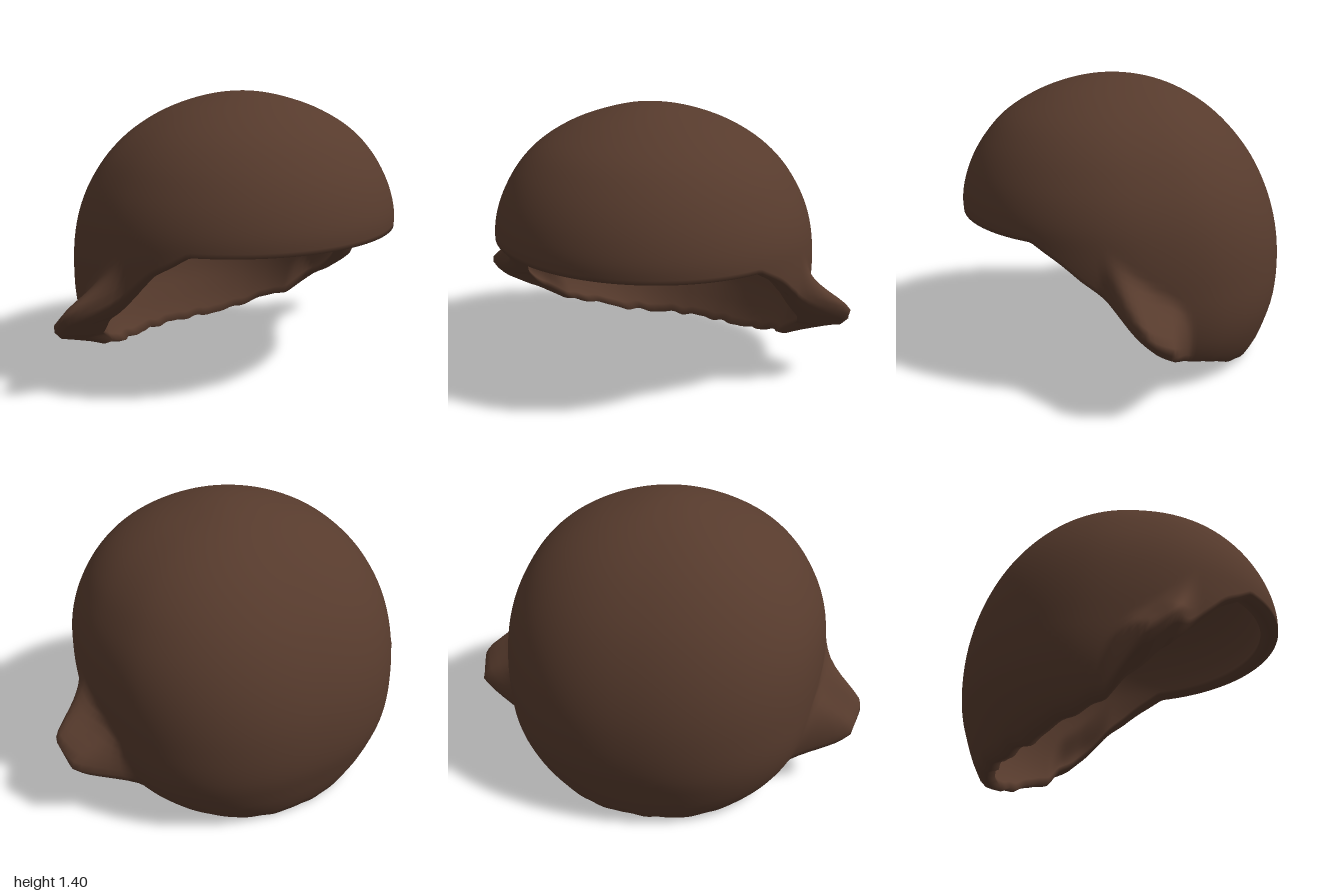
import * as THREE from 'three';

const { smoothstep, clamp, mapLinear } = THREE.MathUtils;
const TOP = 1.39;
// Dome cross-sections: height, half width, front z, back z
const SECTIONS = [
  [1.39, 0, 0.05, 0.05], [1.36, 0.21, 0.26, -0.165], [1.3, 0.385, 0.42, -0.315],
  [1.2, 0.55, 0.58, -0.465], [1.1, 0.65, 0.672, -0.565], [1.0, 0.715, 0.735, -0.64],
  [0.9, 0.762, 0.775, -0.695], [0.8, 0.79, 0.795, -0.736], [0.7, 0.802, 0.79, -0.765],
  [0.6, 0.805, 0.78, -0.783], [0.5, 0.8, 0.75, -0.79], [0.4, 0.79, 0.7, -0.788],
  [0.3, 0.77, 0.65, -0.775], [0.2, 0.735, 0.6, -0.747], [0.1, 0.67, 0.55, -0.715],
  [0, 0.57, 0.5, -0.672],
];
// Rim height along z, from the brow to the nape
const RIM = [
  [0.8, 0.735], [0.43, 0.735], [0.25, 0.62], [0.1, 0.49], [0, 0.385], [-0.1, 0.3],
  [-0.2, 0.235], [-0.27, 0.165], [-0.42, 0.11], [-0.55, 0.04], [-0.64, 0.015], [-0.8, 0.012],
];

// Keyed by the root of the depth below the crown, which keeps the crown round
const sections = new THREE.CubicInterpolant(
  SECTIONS.map(s => Math.sqrt(TOP - s[0])), SECTIONS.flatMap(s => s.slice(1)), 3, new Float32Array(3));

// Point on the dome; the back half is a little fuller than an ellipse
function domePoint(angle, y) {
  const [rx, front, back] = sections.evaluate(Math.sqrt(Math.max(0, TOP - y)));
  const sin = Math.sin(angle), cos = Math.cos(angle);
  const n = 2 + 0.22 * smoothstep(-cos, 0, 0.5);
  const r = Math.pow(Math.abs(sin) ** n + Math.abs(cos) ** n, -1 / n);
  const z = (front + back) / 2 + r * cos * (front - back) / 2;
  return new THREE.Vector3(rx * r * sin, y, z);
}

function rimAt(z) {
  let i = 0;
  while (i < RIM.length - 2 && z < RIM[i + 1][0]) i++;
  const [a, b] = [RIM[i], RIM[i + 1]];
  return mapLinear(clamp(z, -0.8, 0.8), a[0], b[0], a[1], b[1]);
}

// Height where the dome meets the slanted rim at this angle
function rimHeight(angle) {
  let y = 0.5;
  for (let k = 0; k < 40; k++) y += 0.5 * (rimAt(domePoint(angle, y).z) - y);
  const rough = 1 - smoothstep(y, 0.6, 0.73);
  return y + rough * (0.005 * Math.sin(angle * 19) + 0.003 * Math.cos(angle * 32));
}

// Pulls the sides out into a rounded tuft over each ear, lying along the rim
function flare(p, amount) {
  const above = p.y - rimAt(p.z);
  const along = smoothstep(p.z, -0.28, -0.17) * (1 - smoothstep(p.z, -0.07, 0.13));
  const height = (1 - smoothstep(above, 0.03, 0.25)) * (0.85 + 0.15 * smoothstep(above, 0, 0.05));
  const f = amount * along * height;
  p.x += Math.sign(p.x) * 0.235 * f;
  p.y += 0.03 * f;
  return p;
}

function shellGeometry() {
  const around = 240, down = 48, inset = 0.89;
  const rims = Array.from({ length: around }, (_, j) => rimHeight(j / around * Math.PI * 2));
  const positions = [], index = [];
  const rows = [];
  for (let i = 0; i <= down; i++) rows.push({ s: i / down, inside: 0 });
  rows.push({ s: 1, inside: 0.5 });
  for (let i = down; i >= 0; i--) rows.push({ s: i / down, inside: 1 });

  for (const { s, inside } of rows) {
    for (let j = 0; j < around; j++) {
      const rim = rims[j];
      const y = rim + (TOP - rim) * Math.cos(s * Math.PI / 2);
      const p = flare(domePoint(j / around * Math.PI * 2, y), 1 - 0.65 * inside);
      const k = 1 - (1 - inset) * inside;
      const drop = inside === 0.5 ? 0.012 : 0; // rounded lip
      positions.push(p.x * k, rim + (p.y - rim) * k - drop, p.z * k);
    }
  }
  for (let i = 0; i < rows.length - 1; i++) {
    for (let j = 0; j < around; j++) {
      const a = i * around + j, b = i * around + (j + 1) % around;
      index.push(a, a + around, b, b, a + around, b + around);
    }
  }
  const geometry = new THREE.BufferGeometry();
  geometry.setAttribute('position', new THREE.Float32BufferAttribute(positions, 3));
  geometry.setIndex(index);
  geometry.computeVertexNormals();
  return geometry;
}

export function createModel() {
  const group = new THREE.Group();
  group.name = 'hair';
  const material = new THREE.MeshStandardMaterial({ color: 0x573b2d });
  const shell = new THREE.Mesh(shellGeometry(), material);
  shell.name = 'hairCap';
  group.add(shell);
  return group;
}
